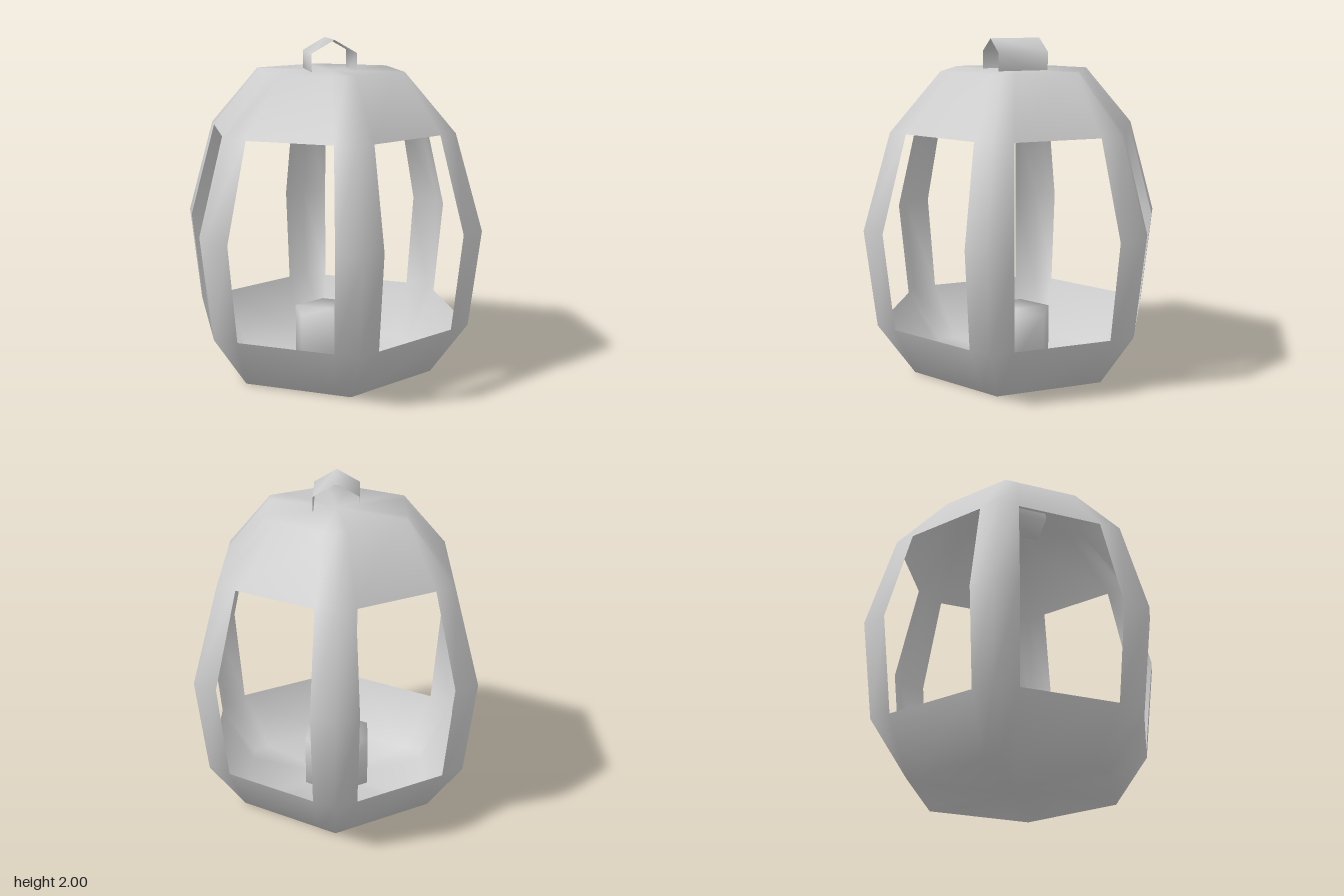
import * as THREE from 'three';
import { mergeVertices } from 'three/addons/utils/BufferGeometryUtils.js';

const SIDES = 6;
const STOPS = [0, 1 / 6, 5 / 6]; // corner, post edge, post edge along each side
const PROFILE = [[0.65, 0], [0.875, 0.32], [0.945, 0.9], [0.775, 1.47], [0.465, 1.815]]; // radius, height
const material = new THREE.MeshStandardMaterial({ color: 0xcccccc, side: THREE.DoubleSide });

function part(name, geometry) {
  const mesh = new THREE.Mesh(geometry, material);
  mesh.name = name;
  return mesh;
}

// Share vertices so shading rolls over the edges
function soften(geometry) {
  geometry.deleteAttribute('normal');
  geometry.deleteAttribute('uv');
  const g = mergeVertices(geometry, 1e-4);
  g.computeVertexNormals();
  return g;
}

// Six-sided shell from stacked rings, with the middle of each side left open
function shellGeometry() {
  const pos = [], index = [];
  const n = SIDES * STOPS.length;
  const corner = (k, r) => {
    const a = (k * Math.PI * 2) / SIDES;
    return new THREE.Vector2(r * Math.sin(a), r * Math.cos(a));
  };
  for (const [r, y] of PROFILE) {
    for (let k = 0; k < SIDES; k++) {
      for (const t of STOPS) {
        const p = corner(k, r).lerp(corner(k + 1, r), t);
        pos.push(p.x, y, p.y);
      }
    }
  }
  const last = PROFILE.length - 1;
  for (let row = 0; row < last; row++) {
    for (let i = 0; i < n; i++) {
      const windowRow = row === 1 || row === 2;
      if (windowRow && i % STOPS.length === 1) continue;
      const a = row * n + i, b = row * n + ((i + 1) % n);
      index.push(a, b, b + n, a, b + n, a + n);
    }
  }
  // Floor and roof
  const floor = pos.length / 3, roof = floor + 1;
  pos.push(0, PROFILE[0][1], 0, 0, PROFILE[last][1], 0);
  for (let i = 0; i < n; i++) {
    const j = (i + 1) % n;
    index.push(floor, j, i, roof, last * n + i, last * n + j);
  }
  const g = new THREE.BufferGeometry();
  g.setAttribute('position', new THREE.Float32BufferAttribute(pos, 3));
  g.setIndex(index);
  g.computeVertexNormals();
  return g;
}

export function createModel() {
  const model = new THREE.Group();
  model.name = 'lantern';

  model.add(part('lanternShell', shellGeometry()));

  // Hexagonal candle on the floor
  const candle = part('candle', soften(new THREE.CylinderGeometry(0.225, 0.225, 0.31, SIDES)));
  candle.position.y = 0.175;
  model.add(candle);

  // Open hexagonal tube half sunk in the roof
  const loop = soften(new THREE.CylinderGeometry(0.155, 0.155, 0.31, SIDES, 1, true));
  loop.rotateX(Math.PI / 2);
  const handle = part('hangingLoop', loop);
  handle.position.y = 1.845;
  model.add(handle);

  return model;
}
